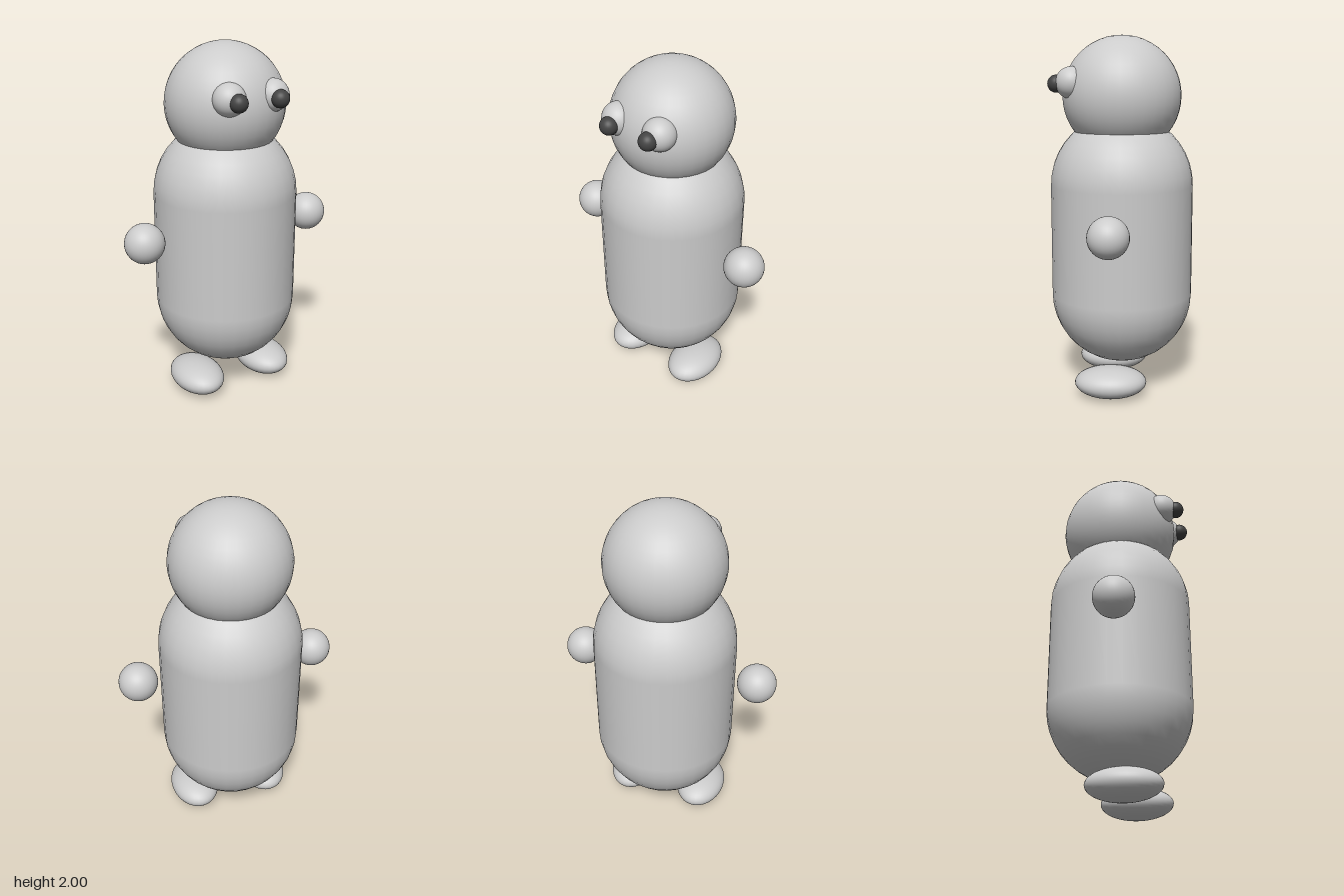
import * as THREE from 'three';

const grey = new THREE.MeshStandardMaterial({ color: 0xcccccc });
const dark = new THREE.MeshStandardMaterial({ color: 0x444444 });

export function createModel() {
  const model = new THREE.Group();
  model.name = 'roundFigure';

  // Adds a ball, optionally stretched into an ellipsoid
  function ball(name, radius, position, material = grey, scale = [1, 1, 1]) {
    const mesh = new THREE.Mesh(new THREE.SphereGeometry(radius, 32, 24), material);
    mesh.name = name;
    mesh.position.set(...position);
    mesh.scale.set(...scale);
    model.add(mesh);
  }

  // Capsule body: rounded ends centred at y = 0.555 and y = 1.175
  const body = new THREE.Mesh(new THREE.CapsuleGeometry(0.4, 0.62, 10, 32), grey);
  body.name = 'body';
  body.position.y = 0.865;
  model.add(body);

  ball('head', 0.33, [0, 1.67, 0]);

  // Paired parts, mirrored across x
  for (const [side, s] of [['left', 1], ['right', -1]]) {
    ball(side + 'Eye', 0.0875, [s * 0.13, 1.742, 0.267]);
    ball(side + 'Pupil', 0.048, [s * 0.123, 1.737, 0.35], dark);
    ball(side + 'Hand', 0.11, [s * 0.525, 0.975, 0.055]);
    ball(side + 'Foot', 1, [s * 0.223, 0.09, 0.057], grey, [0.143, 0.087, 0.2]);
  }

  return model;
}
